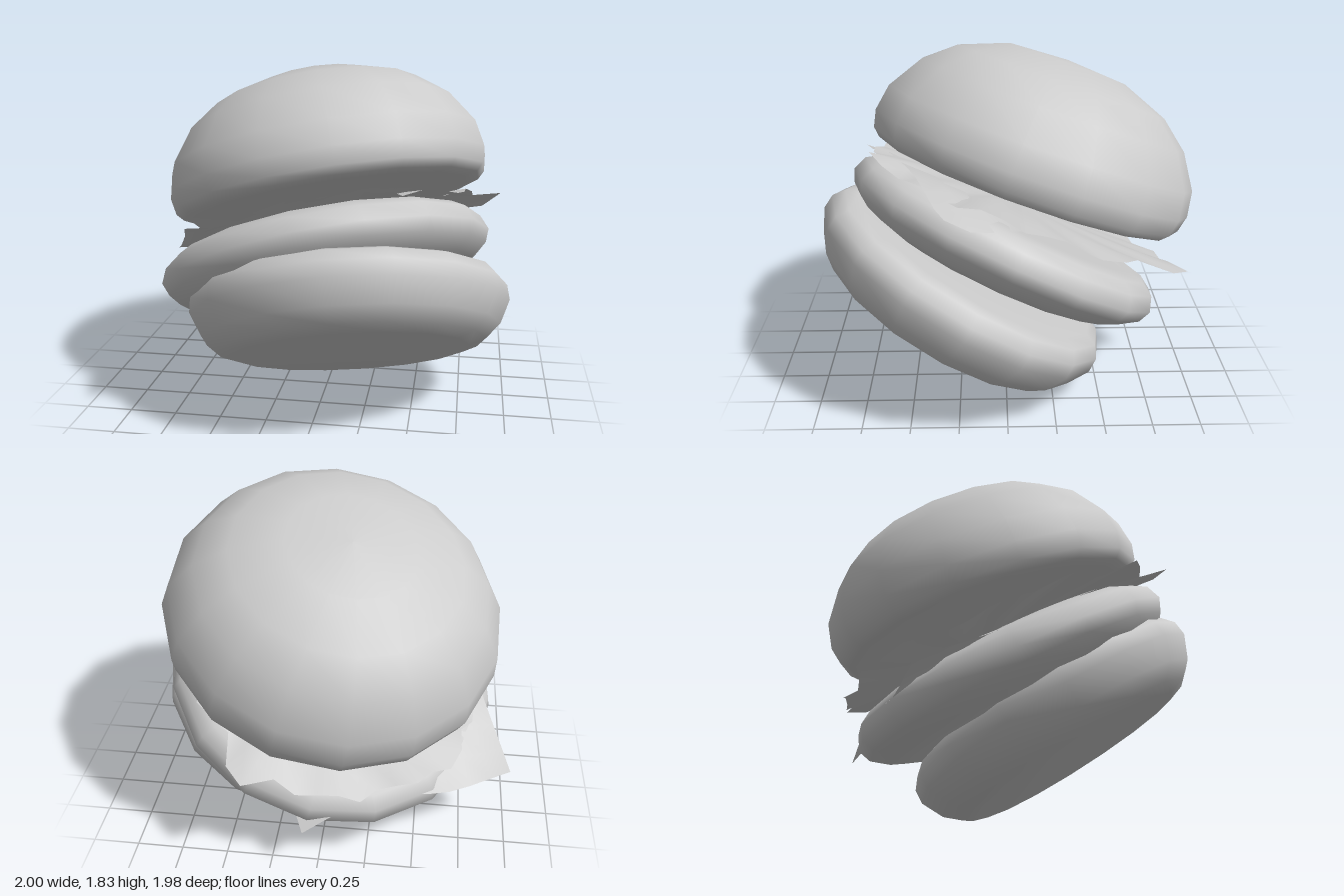
import * as THREE from 'three';

const material = () => new THREE.MeshStandardMaterial({ color: 0xcccccc, side: THREE.DoubleSide });
const UP = new THREE.Vector3(0, 1, 0);

// Round layer: a profile of [radius, height] turned about a tilted axis
function layer(name, profile, centre, axis, phase = 0) {
  const points = profile.map(([r, h]) => new THREE.Vector2(r, h));
  const mesh = new THREE.Mesh(new THREE.LatheGeometry(points, 16, phase), material());
  mesh.name = name;
  mesh.position.set(...centre);
  mesh.quaternion.setFromUnitVectors(UP, new THREE.Vector3(...axis).normalize());
  return mesh;
}

// Height of a tilted plane at x, z
const planeY = ([cx, cy, cz], [nx, ny, nz], x, z) => cy - (nx * (x - cx) + nz * (z - cz)) / ny;

// Thin sheet from a grid of points at(u, v), u and v running 0 to 1
function sheet(name, nu, nv, at) {
  const positions = [], index = [];
  for (let i = 0; i <= nu; i++) {
    for (let j = 0; j <= nv; j++) {
      positions.push(...at(i / nu, j / nv));
      if (i < nu && j < nv) {
        const a = i * (nv + 1) + j, b = a + nv + 1;
        index.push(a, a + 1, b, b, a + 1, b + 1);
      }
    }
  }
  const geometry = new THREE.BufferGeometry();
  geometry.setAttribute('position', new THREE.Float32BufferAttribute(positions, 3));
  geometry.setIndex(index);
  geometry.computeVertexNormals();
  const mesh = new THREE.Mesh(geometry, material());
  mesh.name = name;
  return mesh;
}

export function createModel() {
  const group = new THREE.Group();
  group.name = 'burger';

  // Bottom bun, tipped backwards
  group.add(layer('bottomBun', [
    [0, -0.2], [0.62, -0.2], [0.71, -0.17], [0.79, -0.1], [0.85, 0.02],
    [0.845, 0.1], [0.8, 0.16], [0.73, 0.185], [0, 0.17],
  ], [0.16, 0.52, 0.255], [-0.13, 0.845, -0.52]));

  // Patty
  const pattyAxis = [-0.24, 0.865, -0.435];
  group.add(layer('patty', [
    [0, -0.16], [0.68, -0.165], [0.79, -0.125], [0.88, -0.06], [0.91, 0.01],
    [0.88, 0.09], [0.81, 0.135], [0.72, 0.155], [0, 0.15],
  ], [0, 0.73, 0.01], pattyAxis));

  // Top bun: flat base and rounded dome
  group.add(layer('topBun', [
    [0, 0.01], [0.76, 0], [0.83, 0.01], [0.87, 0.05], [0.89, 0.14], [0.865, 0.28],
    [0.75, 0.46], [0.59, 0.59], [0.33, 0.69], [0, 0.71],
  ], [0.013, 1.06, -0.1], [-0.2, 0.92, -0.34], Math.PI / 16));

  // Cheese slice: four corners as x, z and droop, lying on the patty and hanging over its rim
  const corners = [[-0.5, 0.81, -0.08], [0.92, 0.29, -0.1], [-1, -0.39, -0.06], [0.07, -0.85, -0.245]];
  group.add(sheet('cheese', 10, 10, (u, v) => {
    const weights = [(1 - u) * (1 - v), u * (1 - v), (1 - u) * v, u * v];
    const mix = (k) => corners.reduce((sum, c, i) => sum + c[k] * weights[i], 0);
    const x = mix(0), z = mix(1);
    const hang = THREE.MathUtils.smoothstep(Math.hypot(x, z), 0.6, 0.9);
    const wave = 0.012 * Math.sin(9 * u + 2) * Math.sin(8 * v);
    return [x, planeY([-0.03, 0.89, -0.07], pattyAxis, x, z) + mix(2) * hang + wave, z];
  }));

  // Lettuce: crinkled leaf with a ragged rim, a long tip at the back and a short one in front
  const tips = [[Math.atan2(-0.9, 0.4), 0.2], [Math.atan2(0.8, -0.55), 0.12]];
  group.add(sheet('lettuce', 6, 48, (u, v) => {
    const a = v * Math.PI * 2;
    let rim = 0.79 + 0.025 * Math.sin(7 * a) + 0.025 * Math.sin(17 * a + 1);
    for (const [angle, length] of tips) rim += length * Math.exp(-45 * Math.asin(Math.sin((a - angle) / 2)) ** 2 * 4);
    const x = -0.02 + u * rim * Math.cos(a), z = -0.08 + u * rim * Math.sin(a);
    const crinkle = u * u * (0.018 * Math.sin(13 * a + 5 * u) + 0.015 * Math.sin(5 * a + 1));
    const sag = 0.05 * u ** 3 * Math.max(0, Math.cos(a - Math.PI / 4));
    return [x, planeY([-0.02, 0.95, -0.08], [-0.22, 0.89, -0.39], x, z) + crinkle - sag, z];
  }));

  return group;
}
